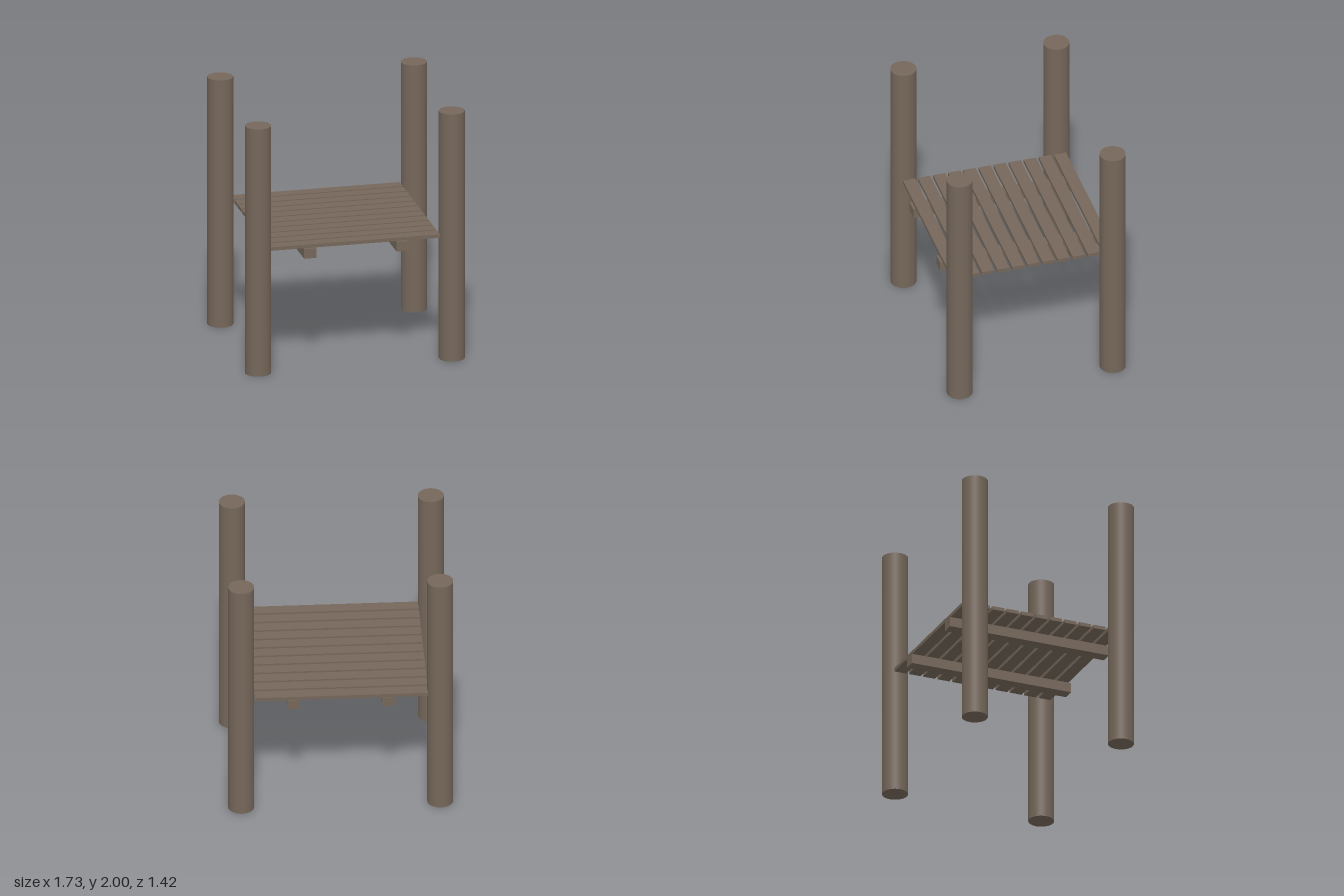
import * as THREE from 'three';

export function createModel() {
  const model = new THREE.Group();
  model.name = 'postPlatform';
  const wood = new THREE.MeshStandardMaterial({ color: 0x75675a });
  wood.name = 'weathered wood';

  const add = (name, geometry, x, y, z) => {
    const mesh = new THREE.Mesh(geometry, wood);
    mesh.name = name;
    mesh.position.set(x, y, z);
    model.add(mesh);
  };

  // Four round corner posts
  const post = new THREE.CylinderGeometry(0.1, 0.1, 2, 32);
  for (const x of [-0.765, 0.765])
    for (const z of [-0.612, 0.612]) add('cornerPost', post, x, 1, z);

  // Two beams running front to back under the deck
  const beam = new THREE.BoxGeometry(0.098, 0.078, 1.33);
  for (const x of [-0.365, 0.365]) add('supportBeam', beam, x, 0.949, 0);

  // Deck planks with gaps, laid side to side
  const plank = new THREE.BoxGeometry(1.334, 0.028, 0.098);
  for (let i = 0; i < 11; i++) add('deckPlank', plank, -0.003, 1.002, -0.613 + i * 0.1208);

  return model;
}
